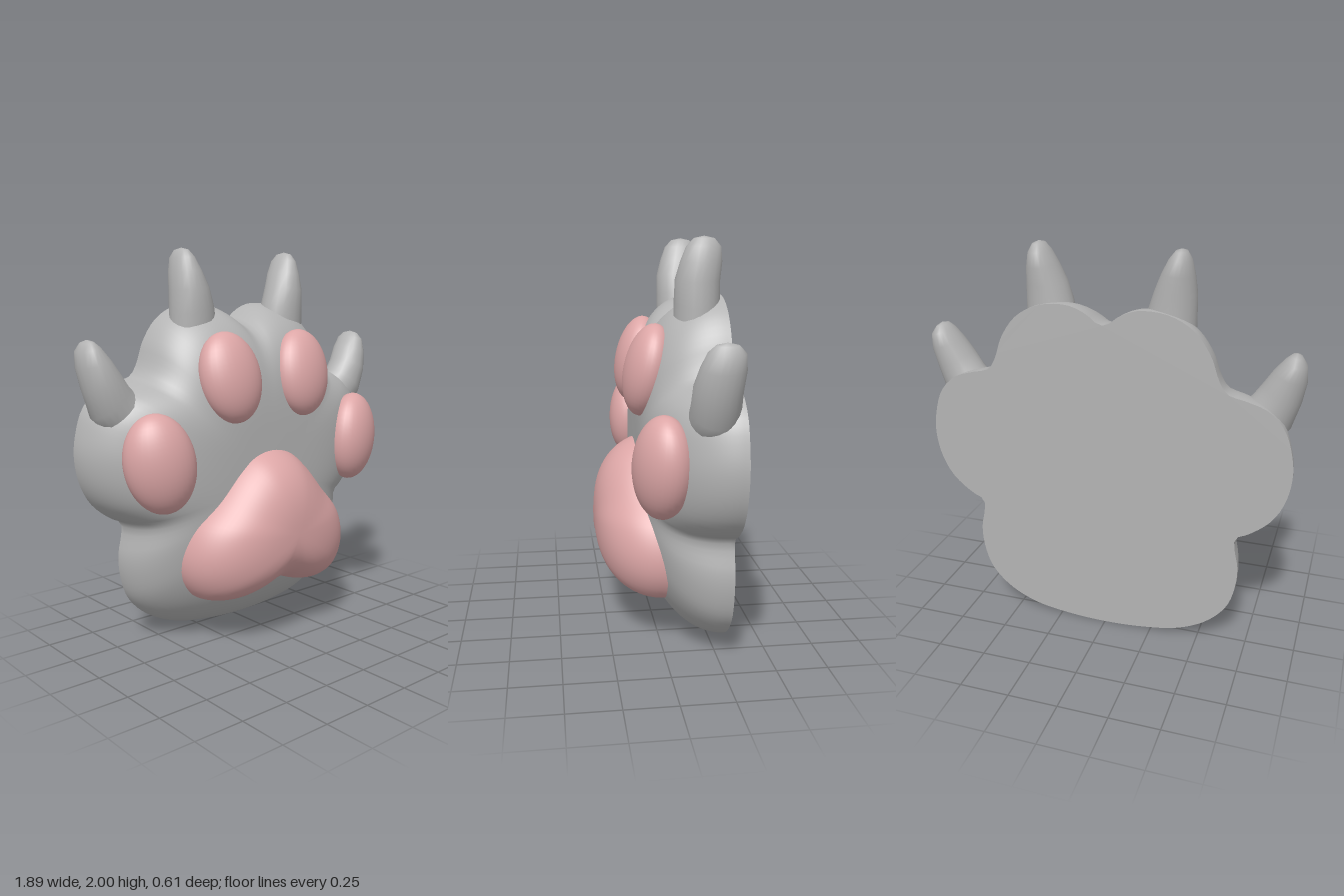
import * as THREE from 'three';
import { mergeVertices } from 'three/addons/utils/BufferGeometryUtils.js';

const fur = new THREE.MeshStandardMaterial({ color: 0xb4b4b4 });
fur.name = 'grey fur';
const skin = new THREE.MeshStandardMaterial({ color: 0xdca6a6 });
skin.name = 'pink pad';

// Right halves of the outlines, bottom to top
const PAW = [[0, 0], [0.2, 0.01], [0.4, 0.045], [0.55, 0.12], [0.65, 0.23], [0.69, 0.36], [0.695, 0.47],
  [0.675, 0.57], [0.677, 0.63], [0.74, 0.665], [0.84, 0.75], [0.9, 0.86], [0.925, 1.0], [0.91, 1.12],
  [0.87, 1.23], [0.79, 1.31], [0.69, 1.345], [0.6, 1.37], [0.56, 1.43], [0.52, 1.54], [0.44, 1.65],
  [0.32, 1.715], [0.17, 1.725], [0.08, 1.69], [0.03, 1.652], [0, 1.642]];
const PALM = [[0, 0.28], [0.08, 0.27], [0.18, 0.235], [0.3, 0.22], [0.43, 0.26], [0.5, 0.36], [0.515, 0.48],
  [0.47, 0.62], [0.35, 0.755], [0.22, 0.9], [0.12, 0.975], [0, 1.0]];

// Claw sections as left x, y and right x, y, with shared depth centre and radius
const INNER_CLAW = [[0.18, 1.66, 0.42, 1.6], [0.19, 1.72, 0.42, 1.67], [0.22, 1.81, 0.418, 1.79],
  [0.255, 1.89, 0.408, 1.88], [0.29, 1.955, 0.393, 1.95], [0.318, 1.99, 0.372, 1.988], [0.345, 2, 0.345, 2]];
const OUTER_CLAW = [[0.66, 1.3, 0.84, 1.14], [0.7, 1.34, 0.885, 1.19], [0.745, 1.405, 0.925, 1.32],
  [0.79, 1.475, 0.945, 1.43], [0.835, 1.53, 0.94, 1.505], [0.865, 1.555, 0.915, 1.545], [0.89, 1.562, 0.89, 1.562]];
const CLAW_DEPTH = [[-0.18, 0.11], [-0.18, 0.11], [-0.18, 0.108], [-0.195, 0.1], [-0.204, 0.083],
  [-0.205, 0.05], [-0.205, 0]];

// Mirrors a half outline and samples a smooth closed loop, counter-clockwise
function loop(half, count) {
  const mirrored = half.slice(1, -1).reverse().map(([x, y]) => [-x, y]);
  const pts = [...half, ...mirrored].map(([x, y]) => new THREE.Vector3(x, y, 0));
  return new THREE.CatmullRomCurve3(pts, true, 'centripetal').getSpacedPoints(count).slice(0, count);
}

// Skins a list of closed rings; rings run counter-clockwise seen from the end
function loft(rings) {
  const n = rings[0].length, index = [];
  for (let i = 0; i < rings.length - 1; i++) {
    for (let j = 0; j < n; j++) {
      const k = (j + 1) % n, a = i * n + j, b = i * n + k;
      index.push(a, b, b + n, a, b + n, a + n);
    }
  }
  const geo = new THREE.BufferGeometry();
  geo.setAttribute('position', new THREE.Float32BufferAttribute(rings.flat().flatMap((p) => [p.x, p.y, p.z]), 3));
  geo.setIndex(index);
  const merged = mergeVertices(geo, 1e-5);
  merged.computeVertexNormals();
  return merged;
}

// Domed cushion over an outline; power(dir) sets how flat the crown is,
// and soften fades the outline's notches toward an ellipse near the middle
function dome(outline, cy, base, height, steps, power, soften) {
  const rings = [];
  for (let i = 0; i <= steps; i++) {
    const a = (Math.PI / 2) * (1 - i / steps);
    rings.push(outline.map((p) => {
      const dx = p.x, dy = p.y - cy, r = Math.hypot(dx, dy);
      const ux = dx / r, uy = dy / r;
      const t = i === steps ? 0 : Math.pow(Math.sin(a), 2 / power(uy));
      const calm = soften ? 1 / Math.hypot(ux / soften[0], uy / soften[1]) : r;
      const d = t * (calm + (r - calm) * t * t);
      return new THREE.Vector3(ux * d, cy + uy * d, base + height * Math.cos(a));
    }));
  }
  return loft(rings);
}

function claw(sections, side) {
  const n = 20;
  return loft(sections.map(([lx, ly, rx, ry], i) => {
    const [cz, rz] = CLAW_DEPTH[i], ring = [];
    for (let j = 0; j < n; j++) {
      const a = (j / n) * Math.PI * 2, u = 0.5 + 0.5 * Math.cos(a);
      ring.push(new THREE.Vector3(side * (lx + (rx - lx) * u), ly + (ry - ly) * u, cz - rz * Math.sin(a)));
    }
    return side > 0 ? ring : ring.reverse();
  }));
}

export function createModel() {
  const model = new THREE.Group();
  model.name = 'paw';
  const add = (name, geo, mat) => {
    const mesh = new THREE.Mesh(geo, mat);
    mesh.name = name;
    model.add(mesh);
    return mesh;
  };

  // Paw body with flat back
  const outline = loop(PAW, 160);
  add('pawBody', dome(outline, 0.85, -0.305, 0.4, 28, (uy) => 3.8 + 0.8 * uy, [0.8, 0.85]), fur);
  const back = new THREE.ShapeGeometry(new THREE.Shape(outline.map((p) => new THREE.Vector2(p.x, p.y))));
  back.rotateY(Math.PI).translate(0, 0, -0.305);
  add('pawBack', back, fur);

  // Large palm pad
  add('palmPad', dome(loop(PALM, 96), 0.57, -0.02, 0.325, 20, () => 2.6), skin);

  for (const side of [1, -1]) {
    const label = side > 0 ? 'left' : 'right';

    // Toe pads lie along the slope of the body
    const inner = add(label + 'InnerToePad', new THREE.SphereGeometry(1, 32, 24), skin);
    inner.scale.set(0.172, 0.23, 0.115);
    inner.position.set(side * 0.24, 1.365, 0.048);
    inner.rotation.set(-0.2, side * 0.06, -side * 0.1);

    const outer = add(label + 'OuterToePad', new THREE.SphereGeometry(1, 32, 24), skin);
    outer.scale.set(0.176, 0.245, 0.13);
    outer.position.set(side * 0.655, 0.978, 0.03);
    outer.rotation.set(0, side * 0.35, -side * 0.17);

    // Claws
    add(label + 'InnerClaw', claw(INNER_CLAW, side), fur);
    add(label + 'OuterClaw', claw(OUTER_CLAW, side), fur);
  }
  return model;
}
